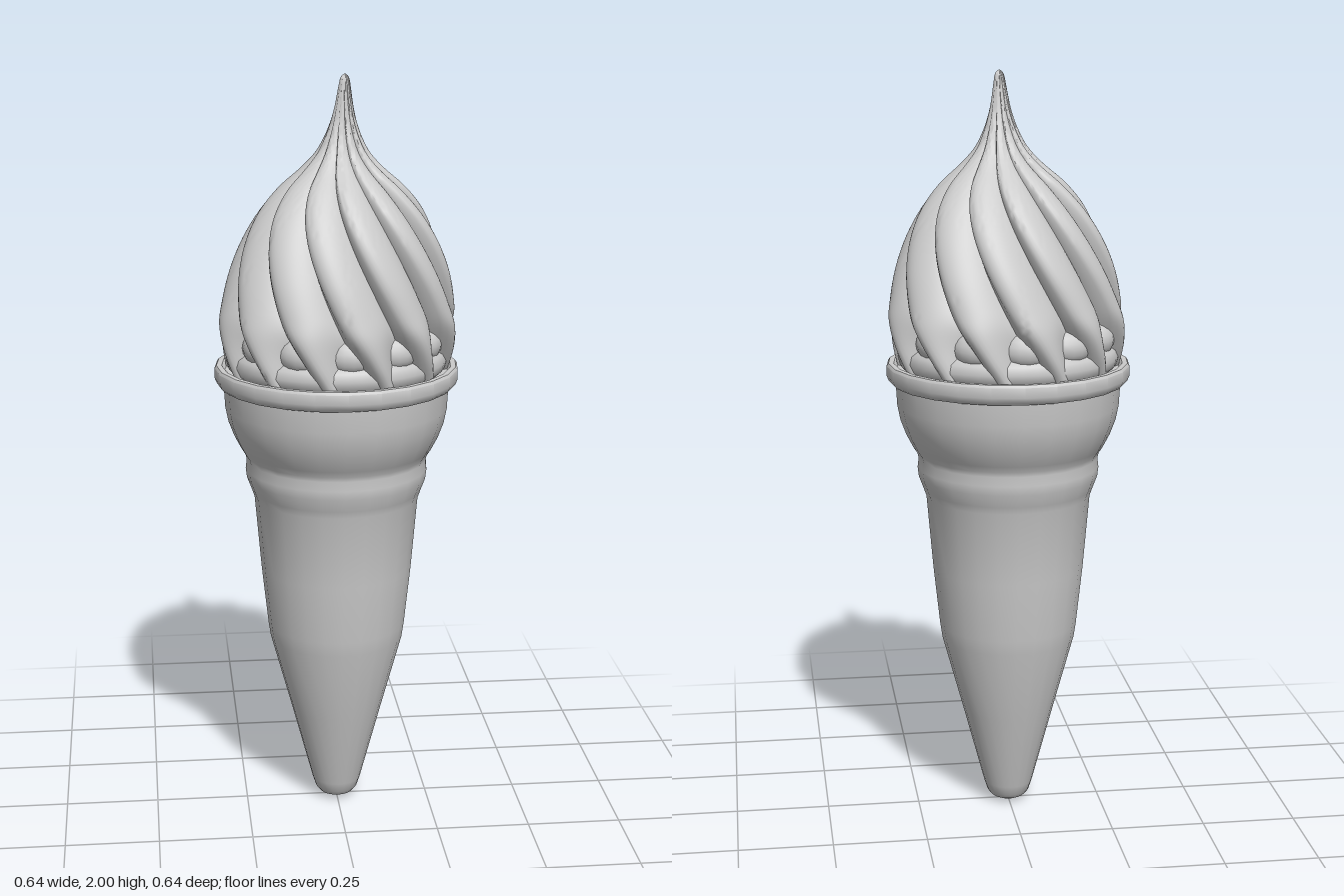
import * as THREE from 'three';
import { toCreasedNormals, mergeVertices } from 'three/addons/utils/BufferGeometryUtils.js';

const LOBES = 12;
const BASE_Y = 1.22;
const TIP_Y = 2;

const vec = (pts) => pts.map(([r, y]) => new THREE.Vector2(r, y));

// Angle of a groove between two lobes at height y
const grooveAngle = (y) => THREE.MathUtils.degToRad(79 + 110 * (y - 1.24));

// Twisted, lobed cream: one scalloped cross-section per height
function swirlGeometry() {
  const outline = new THREE.SplineCurve(vec([
    [0.29, BASE_Y], [0.308, 1.29], [0.315, 1.36], [0.304, 1.42], [0.284, 1.5], [0.254, 1.58], [0.215, 1.65],
    [0.165, 1.71], [0.108, 1.76], [0.071, 1.8], [0.049, 1.84], [0.034, 1.88], [0.024, 1.92], [0.017, 1.96],
    [0.011, 1.99], [0.001, TIP_Y],
  ]));
  const rows = 80, perLobe = 14, cols = LOBES * perLobe;
  const pos = [], index = [];
  for (let i = 0; i <= rows; i++) {
    const { x: R, y } = outline.getPoint(i / rows);
    const t = (y - BASE_Y) / (TIP_Y - BASE_Y);
    const low = 1 - THREE.MathUtils.smoothstep(y, 1.24, 1.42);
    const depth = 0.16 + 0.07 * low;
    const sharpness = 1 + 1.6 * low; // lobes taper to narrow feet
    const shift = 0.02 * t; // the tip leans slightly off the axis
    for (let j = 0; j < cols; j++) {
      const u = (j % perLobe) / perLobe;
      const s = 2 * Math.pow(u, 1.8) - 1; // fuller on the lower side
      const r = R * (1 - depth * (1 - Math.pow(1 - s * s, sharpness / 2)));
      const a = grooveAngle(y) + (j / cols) * Math.PI * 2;
      pos.push(r * Math.cos(a) + shift, y, r * Math.sin(a) + shift);
    }
  }
  for (let i = 0; i < rows; i++) {
    for (let j = 0; j < cols; j++) {
      const k = (j + 1) % cols;
      const a = i * cols + j, b = i * cols + k, c = a + cols, d = b + cols;
      index.push(a, c, b, b, c, d);
    }
  }
  const g = new THREE.BufferGeometry();
  g.setAttribute('position', new THREE.Float32BufferAttribute(pos, 3));
  g.setIndex(index);
  return toCreasedNormals(g, 0.9);
}

// Turned wafer part with sharp corners kept
function turned(points) {
  const g = new THREE.LatheGeometry(vec(points), 24);
  g.deleteAttribute('normal');
  g.deleteAttribute('uv');
  return toCreasedNormals(mergeVertices(g, 1e-5), 0.65);
}

export function createModel() {
  const group = new THREE.Group();
  const material = new THREE.MeshStandardMaterial({ color: 0xcccccc, side: THREE.DoubleSide });
  const add = (name, geometry, parent = group) => {
    const mesh = new THREE.Mesh(geometry, material);
    mesh.name = name;
    parent.add(mesh);
    return mesh;
  };

  // Tapered wafer with a rounded foot, collar and flared cup
  add('cone', turned([
    [0, 0], [0.025, 0.004], [0.045, 0.014], [0.057, 0.028], [0.066, 0.055], [0.123, 0.27], [0.18, 0.48],
    [0.186, 0.52], [0.203, 0.68], [0.22, 0.88], [0.227, 0.9], [0.24, 0.935], [0.243, 0.96], [0.24, 0.985],
    [0.243, 0.998], [0.254, 1.015], [0.272, 1.05], [0.287, 1.09], [0.295, 1.13], [0.299, 1.2],
  ]));

  // Rim band around the cup, closed across the top
  add('rim', turned([
    [0.29, 1.19], [0.31, 1.19], [0.317, 1.197], [0.322, 1.21], [0.322, 1.236], [0.317, 1.243], [0.303, 1.243],
    [0.294, 1.232], [0.2, 1.232],
  ]));

  add('swirl', swirlGeometry());

  // Piped cream ring showing between the lobes
  const ring = add('creamRing', new THREE.TorusGeometry(0.25, 0.042, 12, 48));
  ring.rotation.x = Math.PI / 2;
  ring.position.y = 1.26;

  // Soft dollops filling the grooves above the ring
  const dollops = new THREE.Group();
  dollops.name = 'dollops';
  group.add(dollops);
  const dollop = new THREE.SphereGeometry(1, 16, 10);
  for (let i = 0; i < LOBES; i++) {
    const a = grooveAngle(1.31) + (i / LOBES) * Math.PI * 2;
    const mesh = add('dollop', dollop, dollops);
    mesh.scale.set(0.052, 0.05, 0.066);
    mesh.position.set(0.237 * Math.cos(a), 1.315, 0.237 * Math.sin(a));
    mesh.rotation.y = -a;
  }
  return group;
}
